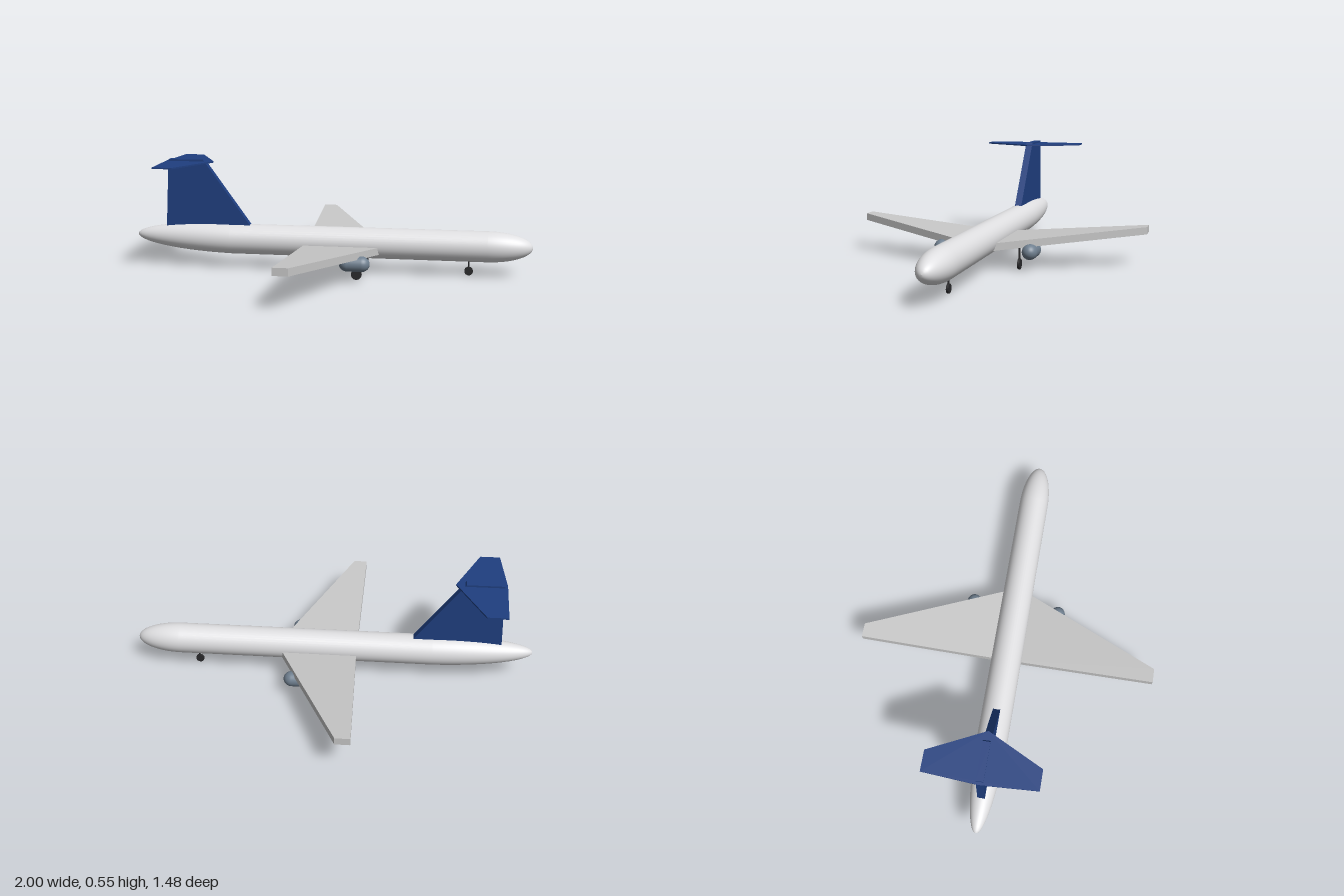
import * as THREE from 'three';

const mat = (name, color) => {
  const m = new THREE.MeshStandardMaterial({ color });
  m.name = name;
  return m;
};

// Body of revolution along x with elliptical ends
function spindle(back, front, radius, backLen, frontLen, sides) {
  const pts = [];
  const n = 14;
  for (let i = 0; i <= n; i++) {
    const a = (i / n) * Math.PI / 2;
    pts.push(new THREE.Vector2(radius * Math.sin(a), back + backLen * (1 - Math.cos(a))));
  }
  for (let i = n; i >= 0; i--) {
    const a = (i / n) * Math.PI / 2;
    pts.push(new THREE.Vector2(radius * Math.sin(a), front - frontLen * (1 - Math.cos(a))));
  }
  return new THREE.LatheGeometry(pts, sides).rotateZ(-Math.PI / 2);
}

// Flat slab from an (x, z) outline, bottom at y, rising outward by slope
function slab(outline, y, thickness, slope = 0) {
  const shape = new THREE.Shape(outline.map(([x, z]) => new THREE.Vector2(x, z)));
  const g = new THREE.ExtrudeGeometry(shape, { depth: thickness, bevelEnabled: false });
  g.rotateX(Math.PI / 2).translate(0, y + thickness, 0);
  const p = g.attributes.position;
  for (let i = 0; i < p.count; i++) p.setY(i, p.getY(i) + slope * Math.abs(p.getZ(i)));
  g.computeVertexNormals();
  return g;
}

export function createModel() {
  const model = new THREE.Group();
  model.name = 'airliner';
  const white = mat('fuselage white', 0xe0e0e2);
  const grey = mat('wing grey', 0xc8c8c8);
  const blue = mat('tail blue', 0x1f3f80);
  const steel = mat('engine steel', 0x708090);
  const black = mat('gear black', 0x2a2a2c);

  const add = (name, geometry, material, parent = model) => {
    const mesh = new THREE.Mesh(geometry, material);
    mesh.name = name;
    parent.add(mesh);
    return mesh;
  };

  // Fuselage, with the tail cone swept slightly upward
  const body = spindle(-1, 1, 0.0765, 0.5, 0.22, 40);
  const bp = body.attributes.position;
  for (let i = 0; i < bp.count; i++) {
    const t = Math.max(0, -0.5 - bp.getX(i)) / 0.5;
    bp.setY(i, bp.getY(i) + 0.149 + 0.012 * t);
  }
  add('fuselage', body, white);

  // Wheel on a thin strut
  const gear = (name, x, z, radius, top) => {
    const g = new THREE.Group();
    g.name = name;
    g.position.set(x, 0, z);
    model.add(g);
    const wheelY = radius + 0.002;
    add('wheel', new THREE.CylinderGeometry(radius, radius, 0.011, 24).rotateX(Math.PI / 2), black, g)
      .position.y = wheelY;
    add('strut', new THREE.CylinderGeometry(0.004, 0.004, top - wheelY, 10), black, g)
      .position.y = (top + wheelY) / 2;
  };
  gear('noseGear', 0.695, 0, 0.021, 0.09);

  // Wings, engines and main gear on both sides
  for (const [side, s] of [['right', 1], ['left', -1]]) {
    const wing = [[0.285, 0], [-0.12, 0], [-0.135, 0.742 * s], [-0.065, 0.742 * s]]
      .map(([x, z]) => [x, z]);
    add(side + 'Wing', slab(wing, 0.099, 0.036, 0.088), grey);
    add(side + 'Engine', spindle(0.078, 0.226, 0.0375, 0.04, 0.04, 28), steel)
      .position.set(0, 0.095, 0.222 * s);
    gear(side + 'MainGear', 0.156, 0.164 * s, 0.026, 0.125);
  }

  // Upright fin
  const finShape = new THREE.Shape([
    [-0.842, 0.19], [-0.38, 0.19], [-0.64, 0.553], [-0.82, 0.553],
  ].map(([x, y]) => new THREE.Vector2(x, y)));
  const fin = new THREE.ExtrudeGeometry(finShape, { depth: 0.036, bevelEnabled: false });
  add('fin', fin.translate(0, 0, -0.018), blue);

  // Thin stabiliser across the top of the fin
  add('stabiliser', slab([
    [-0.835, 0], [-0.818, 0.267], [-0.72, 0.267], [-0.59, 0],
    [-0.72, -0.267], [-0.818, -0.267],
  ], 0.537, 0.007), blue);

  return model;
}
